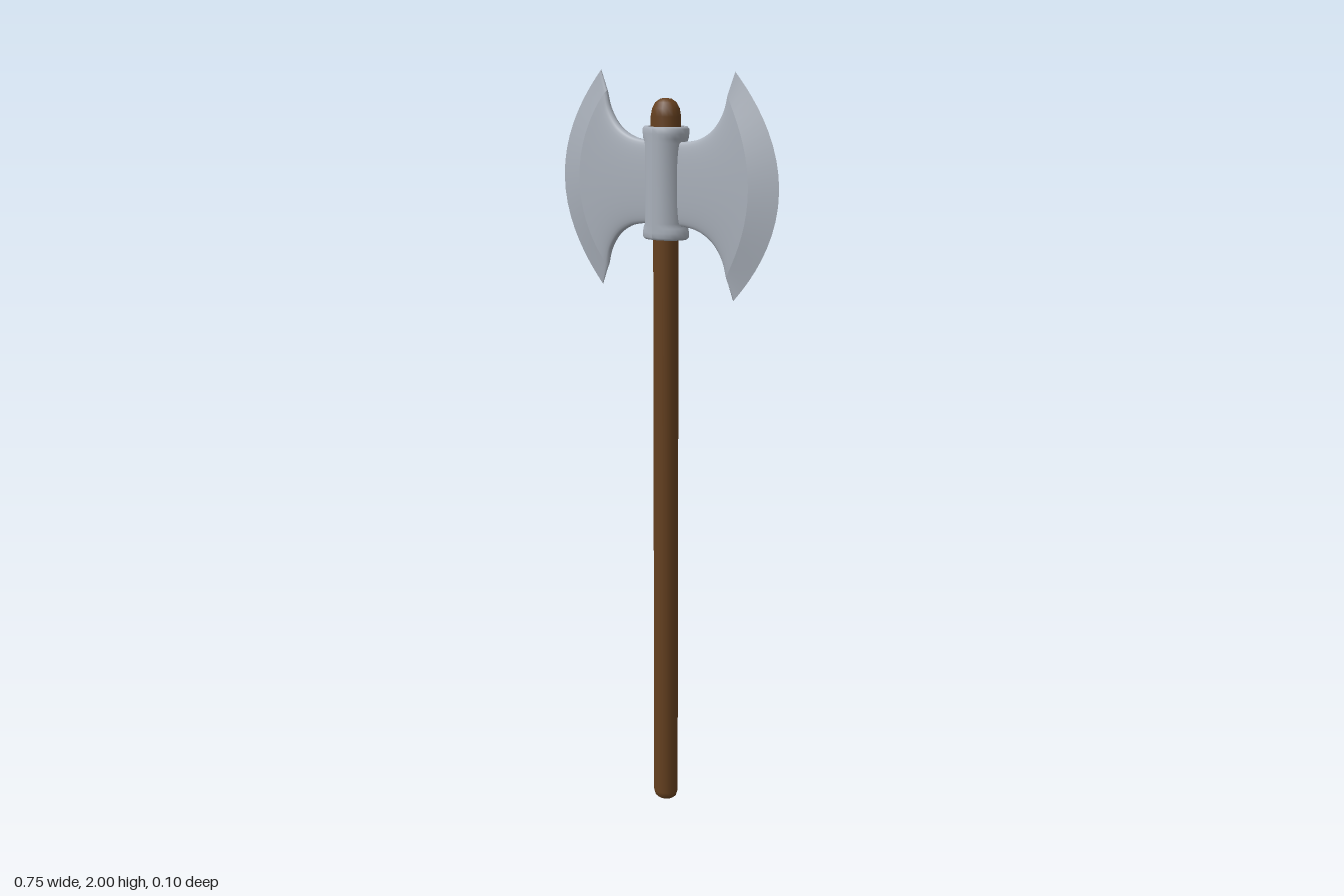
import * as THREE from 'three';

const steel = new THREE.MeshStandardMaterial({ color: 0xa9b0ba, side: THREE.DoubleSide });
const wood = new THREE.MeshStandardMaterial({ color: 0x65401f });
const HEAD_Y = 1.715;

function add(parent, name, geometry, material) {
  const mesh = new THREE.Mesh(geometry, material);
  mesh.name = name;
  parent.add(mesh);
  return mesh;
}

// Lathe from [radius, y] pairs
function lathe(points, sides) {
  return new THREE.LatheGeometry(points.map(([r, y]) => new THREE.Vector2(r, y)), sides);
}

// Skin over lens-shaped columns. Each column has the x of its ends (cx), half height (h),
// x at its middle (mid), half thickness (z) and roundness of its ends (p).
function loftColumns(columns, sides = 48) {
  const pos = [], index = [];
  columns.forEach(({ cx, h, mid, z, p }, i) => {
    for (let j = 0; j < sides; j++) {
      const a = (j / sides) * Math.PI * 2, t = Math.cos(a), s = Math.sin(a);
      pos.push(cx + (mid - cx) * (1 - t * t), HEAD_Y + h * t, z * Math.sign(s) * Math.abs(s) ** p);
      if (i === 0) continue;
      const k = (j + 1) % sides, b = (i - 1) * sides, c = i * sides;
      index.push(b + j, b + k, c + j, b + k, c + k, c + j);
    }
  });
  const g = new THREE.BufferGeometry();
  g.setAttribute('position', new THREE.Float32BufferAttribute(pos, 3));
  g.setIndex(index);
  g.computeVertexNormals();
  return g;
}

function createBlade(name) {
  const blade = new THREE.Group();
  blade.name = name;
  // Columns from neck to ridge: x of ends, half height, x at middle
  const path = new THREE.CatmullRomCurve3([
    [0.03, 0.107, 0.03], [0.08, 0.109, 0.09], [0.127, 0.12, 0.16],
    [0.168, 0.145, 0.215], [0.198, 0.187, 0.262], [0.21, 0.23, 0.296],
  ].map((c) => new THREE.Vector3(...c)));
  const body = path.getPoints(20).map((c, i) => ({
    cx: c.x, h: c.y, mid: c.z,
    z: 0.016 + 0.007 * (i / 20),
    p: 0.5 + 0.35 * (i / 20) ** 3,
  }));
  add(blade, name + 'Body', loftColumns(body), steel);
  // Bevel narrowing to the cutting edge
  const edge = { cx: 0.232, h: 0.284, mid: 0.376, z: 0, p: 1 };
  add(blade, name + 'Bevel', loftColumns([body[20], edge]), steel);
  return blade;
}

export function createModel() {
  const axe = new THREE.Group();
  axe.name = 'doubleAxe';

  // Shaft, oval in section, with softened foot
  add(axe, 'shaft', lathe([
    [0, 0], [0.024, 0], [0.031, 0.006], [0.035, 0.02], [0.035, 1.6],
  ], 16), wood).scale.z = 0.89;

  // Domed end of the shaft above the head
  add(axe, 'shaftTop', lathe([
    [0.035, 1.58], [0.043, 1.62], [0.043, 1.885], [0.039, 1.905],
    [0.03, 1.92], [0.016, 1.929], [0, 1.931],
  ], 16), wood).scale.z = 0.81;

  // Collar: a sleeve whose rims swell sideways only
  const profile = [[0.036, 1.574], [0.048, 1.572], [0.052, 1.578], [0.052, 1.59], [0.052, 1.602], [0.052, 1.614]];
  const upper = profile.map(([r, y]) => [r === 0.036 ? 0.043 : r, 2 * HEAD_Y + 0.002 - y]).reverse();
  const collar = lathe([...profile, ...upper], 24);
  const p = collar.attributes.position;
  for (let i = 0; i < p.count; i++) {
    const d = Math.abs(p.getY(i) - HEAD_Y);
    const swell = THREE.MathUtils.smoothstep(d, 0.1, 0.122);
    p.setX(i, p.getX(i) * (1.08 + 0.2 * swell));
  }
  collar.computeVertexNormals();
  add(axe, 'collar', collar, steel);

  // Matching blades on both sides
  const left = createBlade('leftBlade');
  const right = createBlade('rightBlade');
  right.rotation.y = Math.PI;
  axe.add(left, right);
  return axe;
}
